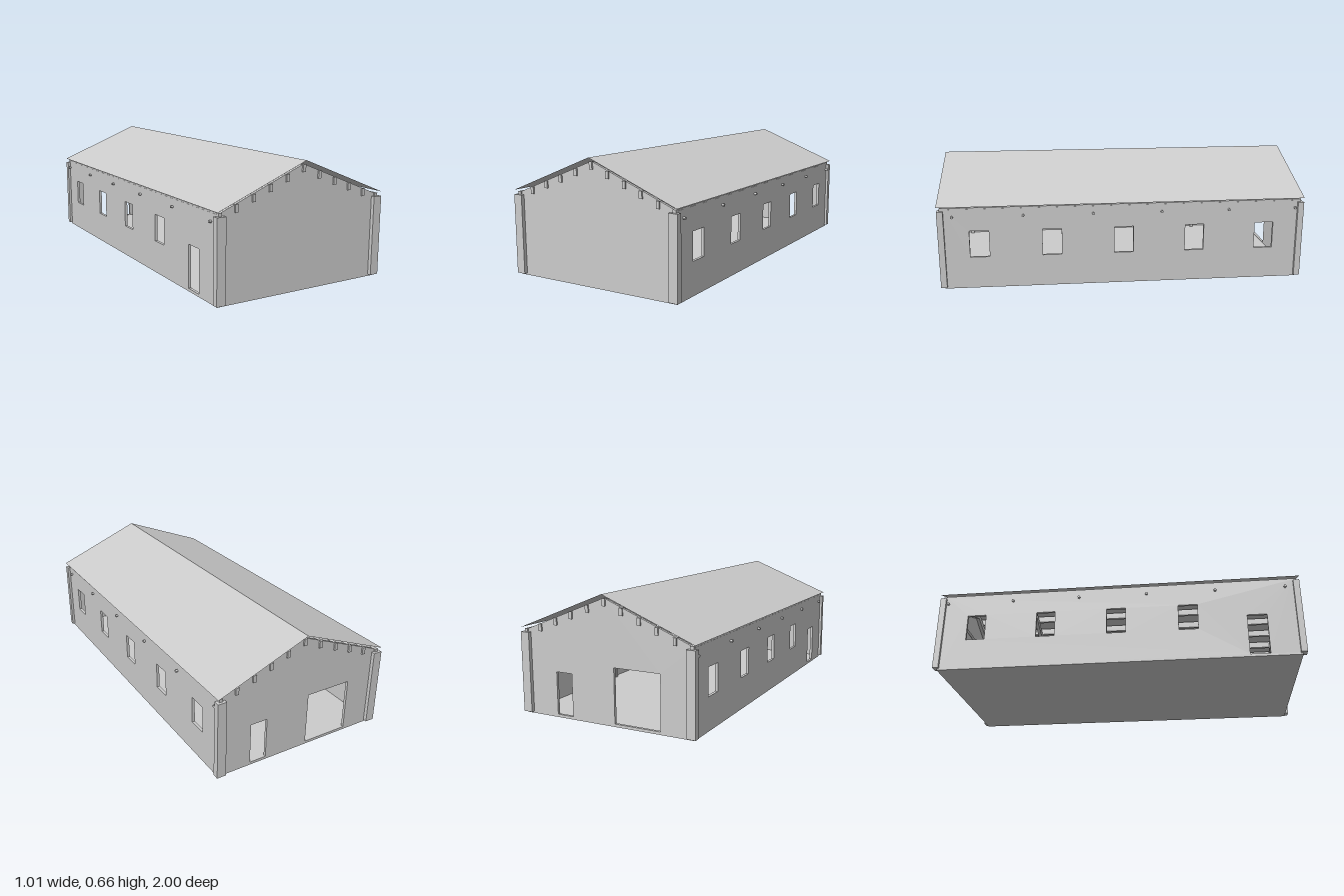
import * as THREE from 'three';

export function createModel() {
  const root = new THREE.Group();
  const mat = new THREE.MeshStandardMaterial({ color: 0xcccccc, flatShading: true });
  const sheetMat = new THREE.MeshStandardMaterial({ color: 0xcccccc, flatShading: true, side: THREE.DoubleSide });

  const HALF_W = 0.49, HALF_L = 0.977, WALL = 0.015;
  const SLOPE = 0.4, RIDGE = 0.64, EAVE = RIDGE - SLOPE * HALF_W;
  const roofLine = (x) => RIDGE - SLOPE * Math.abs(x);

  const add = (name, geo, parent = root, material = mat) => {
    const mesh = new THREE.Mesh(geo, material);
    mesh.name = name;
    parent.add(mesh);
    return mesh;
  };
  const box = (name, w, h, d, x, y, z, parent) => {
    const mesh = add(name, new THREE.BoxGeometry(w, h, d), parent);
    mesh.position.set(x, y, z);
    return mesh;
  };
  const group = (name) => {
    const g = new THREE.Group();
    g.name = name;
    root.add(g);
    return g;
  };
  // Wall panel from an outline, with rectangular openings [x0, x1, y0, y1]
  const panel = (outline, openings) => {
    const pts = (a) => a.map(([x, y]) => new THREE.Vector2(x, y));
    const shape = new THREE.Shape(pts(outline));
    for (const [a, b, c, d] of openings)
      shape.holes.push(new THREE.Path(pts([[a, c], [a, d], [b, d], [b, c]])));
    return new THREE.ExtrudeGeometry(shape, { depth: WALL, bevelEnabled: false });
  };

  // Floor slab
  box('floor', HALF_W * 2, 0.012, HALF_L * 2, 0, 0.006, 0);

  // Gable walls: closed front, back with a door and a large gate
  const gable = [[-HALF_W, 0.01], [HALF_W, 0.01], [HALF_W, EAVE], [0, RIDGE], [-HALF_W, EAVE]];
  add('frontWall', panel(gable, [])).position.z = HALF_L - WALL;
  add('backWall', panel(gable, [
    [0.205, 0.30, 0.015, 0.24],
    [-0.308, -0.048, 0.015, 0.30],
  ])).position.z = -HALF_L;

  // Side walls; panel x runs along -z after the turn
  const L = HALF_L - WALL;
  const side = [[-L, 0.01], [L, 0.01], [L, EAVE], [-L, EAVE]];
  const centres = [0.783, 0.394, 0.003, -0.388, -0.78];
  const windows = centres.map((z) => [-z - 0.052, -z + 0.052, 0.175, 0.322]);
  const leftWall = add('leftWall', panel(side, windows));
  leftWall.rotation.y = Math.PI / 2;
  leftWall.position.x = HALF_W - WALL;
  const rightWall = add('rightWall', panel(side, [[-0.812, -0.707, 0.015, 0.243], ...windows.slice(1)]));
  rightWall.rotation.y = Math.PI / 2;
  rightWall.position.x = -HALF_W;

  // L-shaped corner trims
  const corners = group('cornerTrims');
  for (const sx of [-1, 1]) for (const sz of [-1, 1]) {
    box('cornerTrimEnd', 0.05, 0.425, 0.02, sx * 0.48, 0.2225, sz * 0.988, corners);
    box('cornerTrimSide', 0.015, 0.425, 0.013, sx * 0.4975, 0.2225, sz * 0.9715, corners);
  }

  // Purlins running the length of the building
  const purlins = group('purlins');
  for (const x of [-0.39, -0.293, -0.197, -0.098, 0, 0.098, 0.197, 0.293, 0.39])
    box('purlin', 0.018, 0.038, 1.97, x, roofLine(Math.abs(x) + 0.009) - 0.017, 0, purlins);
  for (const sx of [-1, 1])
    box('eavePurlin', 0.018, 0.016, 1.97, sx * 0.48, 0.443, 0, purlins);

  // Frames: columns, rafters and a tie rod whose ends show outside the walls
  const frames = group('frames');
  const run = 0.47, rafterLength = Math.hypot(run, run * SLOPE);
  for (const z of [0.921, 0.546, 0.171, -0.204, -0.578, -0.953]) {
    const tie = add('tieRod', new THREE.CylinderGeometry(0.007, 0.007, 1.006, 12), frames);
    tie.rotation.z = Math.PI / 2;
    tie.position.set(0, 0.402, z);
    for (const sx of [-1, 1]) {
      box('column', 0.025, 0.4, 0.02, sx * 0.4625, 0.212, z, frames);
      const rafter = box('rafter', rafterLength, 0.035, 0.02, sx * run / 2, roofLine(run / 2) - 0.057, z, frames);
      rafter.rotation.z = -sx * Math.atan(SLOPE);
    }
  }

  // Thin roof sheets, one on each slope
  const roof = group('roof');
  const W = 0.504, TOP = 0.66, LOW = TOP - SLOPE * W;
  for (const sx of [-1, 1]) {
    const geo = new THREE.PlaneGeometry(1, 2);
    geo.rotateX(-Math.PI / 2);
    const p = geo.attributes.position;
    for (let i = 0; i < p.count; i++) {
      const outer = p.getX(i) * sx > 0;
      p.setX(i, outer ? sx * W : 0);
      p.setY(i, outer ? LOW : TOP);
    }
    geo.computeVertexNormals();
    add('roofSheet', geo, roof, sheetMat);
  }

  return root;
}
